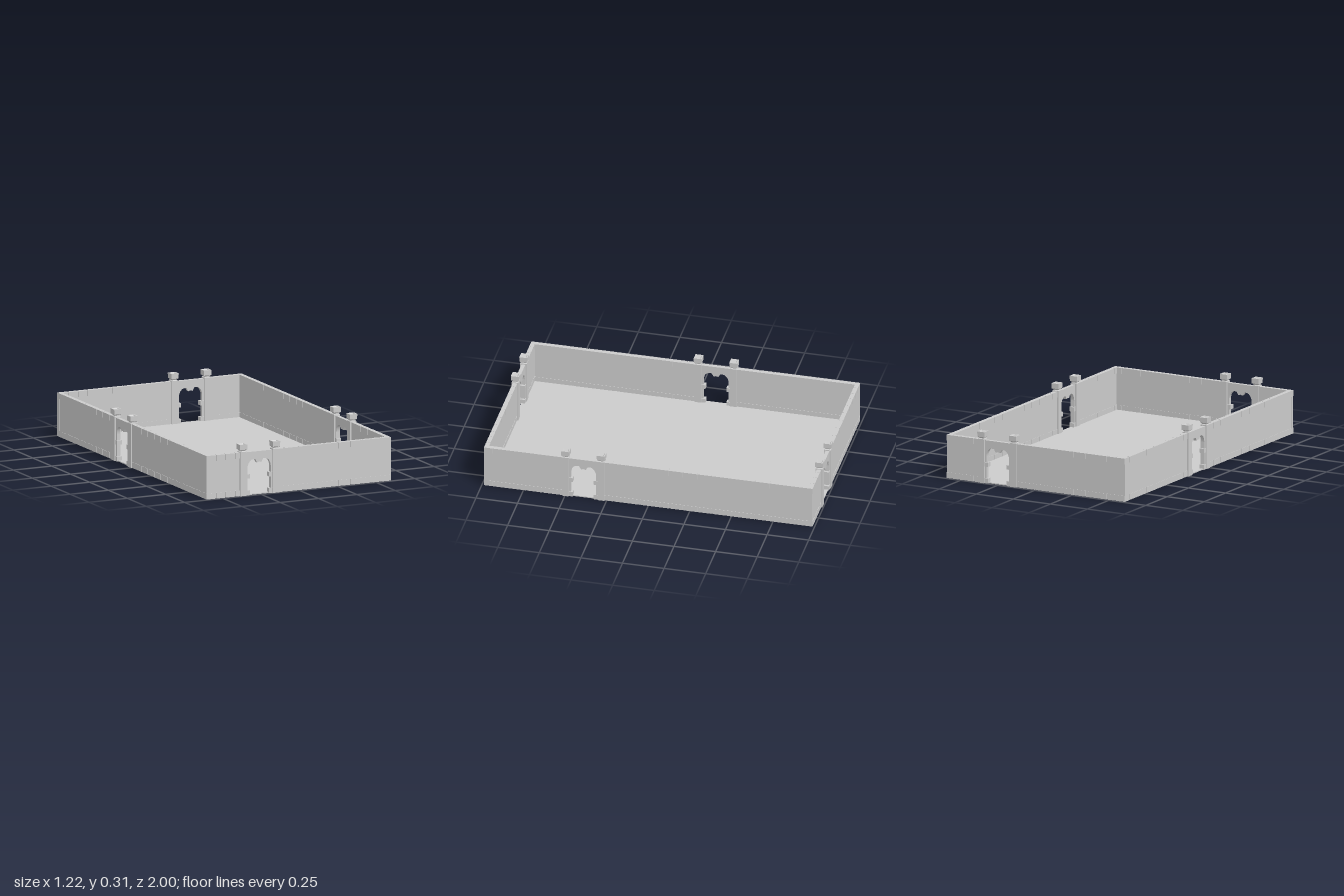
import * as THREE from 'three';

const HX = 0.601, HZ = 0.988;        // outer half sizes of the enclosure
const H = 0.26, T = 0.026;           // wall height and thickness
const BAND = 0.035, GAP = 0.005;     // stone course height and joint width
const POST = 0.107, POST_W = 0.04;   // gate post offset and width

const material = new THREE.MeshStandardMaterial({ color: 0xcccccc, flatShading: true });

function add(parent, name, geometry, x = 0, y = 0, z = 0) {
  const mesh = new THREE.Mesh(geometry, material);
  mesh.name = name;
  mesh.position.set(x, y, z);
  parent.add(mesh);
  return mesh;
}

// Box given by its extents along the wall and in height, centred on the wall's depth
function slab(parent, name, x0, x1, y0, y1, depth) {
  return add(parent, name, new THREE.BoxGeometry(x1 - x0, y1 - y0, depth), (x0 + x1) / 2, (y0 + y1) / 2);
}

// Square turned cap: flared neck, block and shallow dished top
function capGeometry() {
  const profile = [[0.02, 0.259], [0.02, 0.264], [0.015, 0.268], [0.017, 0.273], [0.0235, 0.277],
    [0.0242, 0.308], [0.017, 0.308], [0.012, 0.302], [0, 0.302]];
  const points = profile.map(([r, y]) => new THREE.Vector2(r * Math.SQRT2, y));
  return new THREE.LatheGeometry(points, 4, Math.PI / 4);
}

// Panel between the posts with an arched opening down to the ground
function gatePanelGeometry() {
  const w = POST - POST_W / 2 + 0.002, a = 0.076, b = 0.063;
  const s = new THREE.Shape();
  s.moveTo(-w, 0);
  s.lineTo(-b, 0);
  s.lineTo(-b, 0.03);
  s.lineTo(-a, 0.03);
  s.lineTo(-a, 0.1);
  s.lineTo(-b, 0.1);
  s.lineTo(-b, 0.126);
  s.lineTo(-a, 0.126);
  s.lineTo(-a, 0.165);
  s.quadraticCurveTo(-0.072, 0.2, -0.046, 0.212);
  s.lineTo(-0.026, 0.212);
  s.lineTo(-0.014, 0.191);
  s.lineTo(0, 0.196);
  s.lineTo(0.014, 0.191);
  s.lineTo(0.026, 0.212);
  s.lineTo(0.046, 0.212);
  s.quadraticCurveTo(0.072, 0.2, a, 0.165);
  s.lineTo(a, 0.126);
  s.lineTo(b, 0.126);
  s.lineTo(b, 0.1);
  s.lineTo(a, 0.1);
  s.lineTo(a, 0.03);
  s.lineTo(b, 0.03);
  s.lineTo(b, 0);
  s.lineTo(w, 0);
  s.lineTo(w, H - 0.002);
  s.lineTo(-w, H - 0.002);
  const g = new THREE.ExtrudeGeometry(s, { depth: 0.022, bevelEnabled: false, curveSegments: 8 });
  return g.translate(0, 0, -0.011);
}

function createGate() {
  const gate = new THREE.Group();
  gate.name = 'gate';
  add(gate, 'gatePanel', gatePanelGeometry());
  for (const side of [-1, 1]) {
    add(gate, 'gatePost', new THREE.BoxGeometry(POST_W, H, POST_W), side * POST, H / 2);
    add(gate, 'postCap', capGeometry(), side * POST);
    // Jamb stones standing slightly proud of the panel
    for (const y of [0.015, 0.113]) {
      add(gate, 'jambStone', new THREE.BoxGeometry(0.023, y < 0.1 ? 0.03 : 0.026, 0.03), side * 0.0745, y);
    }
  }
  return gate;
}

// One side of the enclosure, running along x with its outer face towards +z
function createWall(half, gateX, joints) {
  const wall = new THREE.Group();
  wall.name = 'wall';
  const stretches = [[-half, gateX - POST], [gateX + POST, half]];
  for (const [x0, x1] of stretches) {
    slab(wall, 'wallCore', x0, x1, 0.001, H - 0.001, T - 0.004);
    const stops = [x0, ...joints.filter((j) => j > x0 && j < x1), x1];
    for (let i = 0; i < stops.length - 1; i++) {
      const l = stops[i] + (i > 0 ? GAP / 2 : 0);
      const r = stops[i + 1] - (i < stops.length - 2 ? GAP / 2 : 0);
      slab(wall, 'baseCourse', l, r, 0, BAND, T);
      slab(wall, 'topCourse', l, r, H - BAND, H, T);
    }
  }
  const gate = createGate();
  gate.position.x = gateX;
  wall.add(gate);
  return wall;
}

export function createModel() {
  const model = new THREE.Group();
  model.name = 'walledCourtyard';

  add(model, 'floor', new THREE.BoxGeometry(2 * HX - 0.01, 0.006, 2 * HZ - 0.01), 0, 0.003);

  const endJoints = [-0.54, -0.478, -0.416, -0.088, 0, 0.085, 0.17, 0.256, 0.337, 0.416, 0.478, 0.54];
  const rightJoints = [-0.935, -0.73, -0.635, -0.21, -0.13, -0.05, 0.035, 0.126, 0.21, 0.297, 0.383, 0.47, 0.645, 0.73];
  const leftJoints = [-0.935, -0.73, -0.645, -0.47, -0.383, -0.297, 0.05, 0.13, 0.21, 0.297, 0.383, 0.47, 0.645, 0.73];
  const sideHalf = HZ - T;

  // name, half length, gate position, joints, quarter turns
  const sides = [
    ['frontWall', HX, -0.257, endJoints, 0],
    ['leftWall', sideHalf, -0.39, rightJoints, 1],
    ['backWall', HX, -0.257, endJoints, 2],
    ['rightWall', sideHalf, -0.127, leftJoints, 3],
  ];
  for (const [name, half, gateX, joints, turn] of sides) {
    const wall = createWall(half, gateX, joints);
    wall.name = name;
    const angle = turn * Math.PI / 2;
    const distance = (turn % 2 ? HX : HZ) - T / 2;
    wall.rotation.y = angle;
    wall.position.set(Math.sin(angle) * distance, 0, Math.cos(angle) * distance);
    model.add(wall);
  }
  return model;
}
